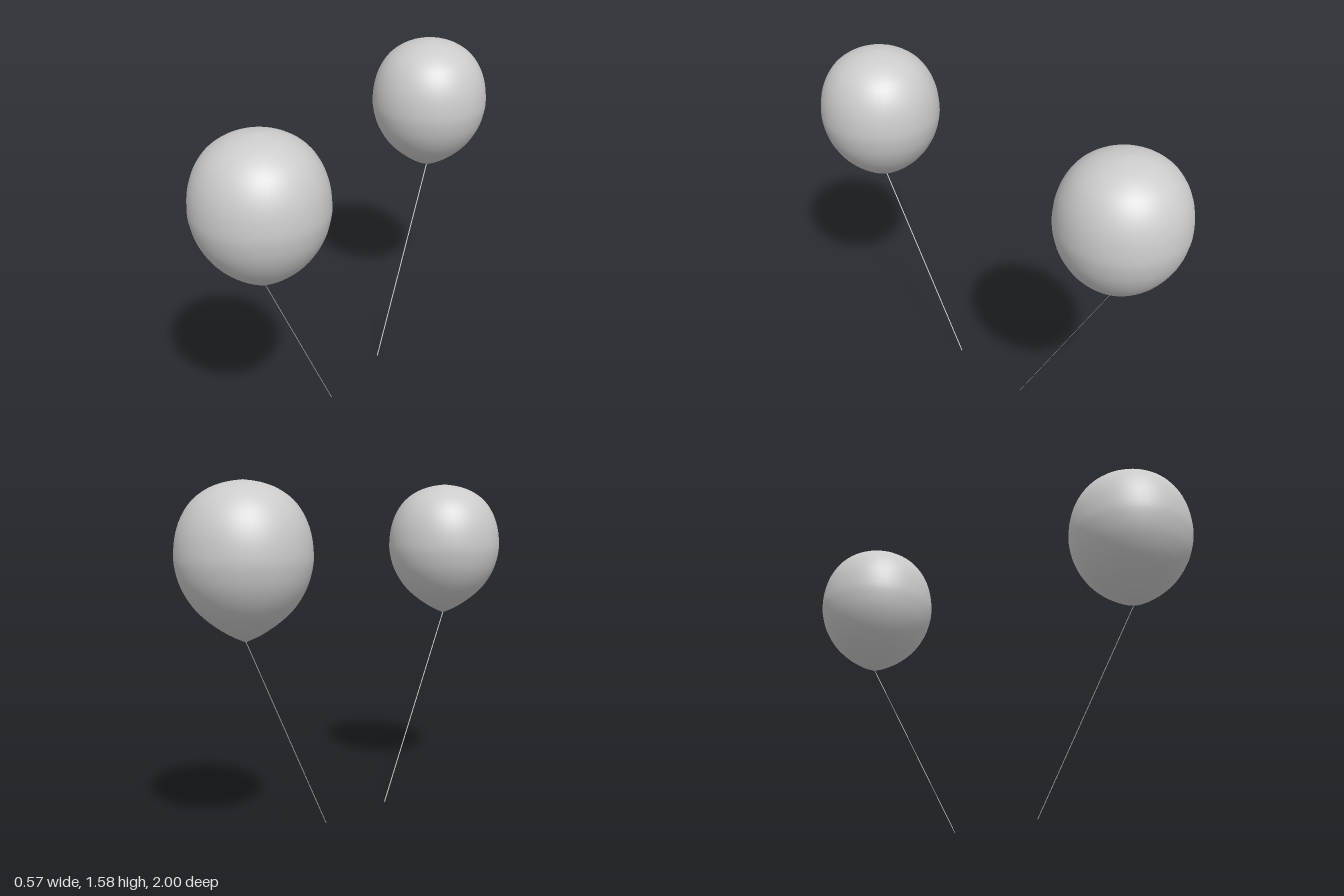
import * as THREE from 'three';

const material = new THREE.MeshStandardMaterial({ color: 0xcccccc, side: THREE.DoubleSide });

// Teardrop skin, turned around the vertical axis
function makeSkin() {
  const profile = new THREE.SplineCurve([
    [0, 0.912], [0.07, 0.945], [0.15, 1.0], [0.212, 1.062], [0.258, 1.14], [0.28, 1.215],
    [0.285, 1.275], [0.276, 1.355], [0.25, 1.43], [0.205, 1.495], [0.14, 1.542], [0.07, 1.567], [0, 1.577],
  ].map(([r, y]) => new THREE.Vector2(r, y)));
  const points = profile.getPoints(36);
  points[0].x = points[36].x = 0;
  const skin = new THREE.Mesh(new THREE.LatheGeometry(points, 48), material);
  skin.name = 'balloonSkin';
  skin.position.z = 0.715;
  return skin;
}

// Thin flat string slanting from the neck down to the hand end
function makeString() {
  const top = new THREE.Vector3(-0.002, 0.92, 0.715);
  const bottom = new THREE.Vector3(-0.008, 0, 0.212);
  const string = new THREE.Mesh(new THREE.BoxGeometry(0.005, 0.001, top.distanceTo(bottom)), material);
  string.name = 'string';
  string.position.copy(top).lerp(bottom, 0.5);
  string.lookAt(top);
  return string;
}

export function createModel() {
  const model = new THREE.Group();
  model.name = 'balloonPair';
  // The back balloon is the front one turned half round
  ['frontBalloon', 'backBalloon'].forEach((name, i) => {
    const balloon = new THREE.Group();
    balloon.name = name;
    balloon.add(makeSkin(), makeString());
    balloon.rotation.y = i * Math.PI;
    model.add(balloon);
  });
  return model;
}
